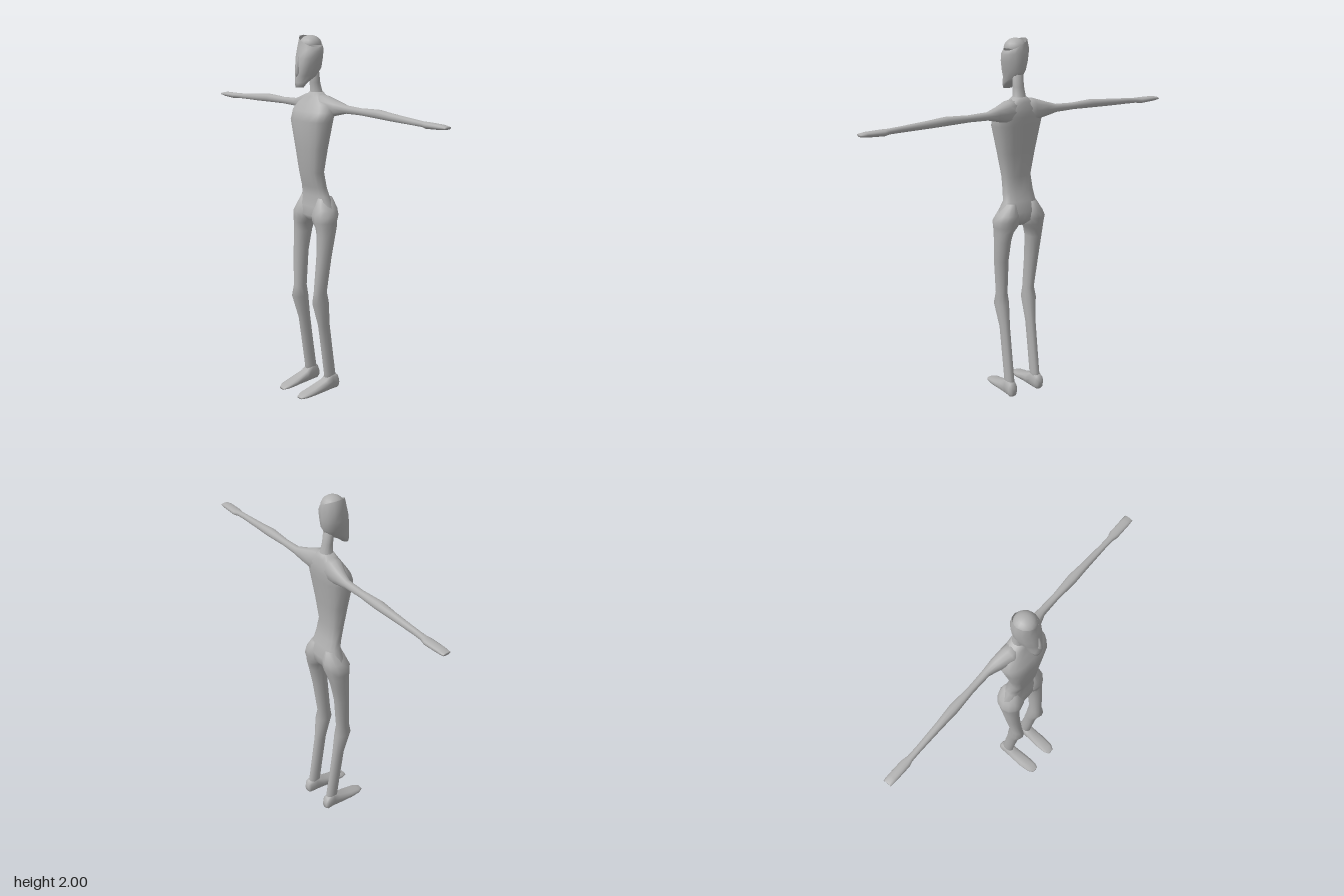
import * as THREE from 'three';

// Skin lofted through rings [t, aMin, aMax, bMin, bMax, tilt] along an axis.
// Axis y: a = x, b = z.  Axis x: a = z, b = y.  Axis z: a = y, b = x.
function loft(axis, rings, { sides = 12, power = 1, openTop = false } = {}) {
  const pos = [], index = [];
  const put = (a, t, b) => {
    if (axis === 'y') pos.push(a, t, b);
    else if (axis === 'x') pos.push(t, b, a);
    else pos.push(b, a, t);
  };
  const shape = v => Math.sign(v) * Math.pow(Math.abs(v), power);
  for (const [t, a0, a1, b0, b1, tilt = 0] of rings) {
    for (let i = 0; i < sides; i++) {
      const ang = (i / sides) * Math.PI * 2;
      const c = shape(Math.cos(ang)), s = shape(Math.sin(ang));
      put((a0 + a1) / 2 + c * (a1 - a0) / 2, t + tilt * c, (b0 + b1) / 2 + s * (b1 - b0) / 2);
    }
  }
  for (let r = 0; r < rings.length - 1; r++) {
    for (let i = 0; i < sides; i++) {
      const p = r * sides + i, q = r * sides + (i + 1) % sides;
      index.push(p, p + sides, q, q, p + sides, q + sides);
    }
  }
  // close the ends
  const cap = (r, top) => {
    const [t, a0, a1, b0, b1] = rings[r];
    const centre = pos.length / 3;
    put((a0 + a1) / 2, t, (b0 + b1) / 2);
    for (let i = 0; i < sides; i++) {
      const p = r * sides + i, q = r * sides + (i + 1) % sides;
      index.push(centre, top ? q : p, top ? p : q);
    }
  };
  cap(0, false);
  if (!openTop) cap(rings.length - 1, true);
  const geo = new THREE.BufferGeometry();
  geo.setAttribute('position', new THREE.Float32BufferAttribute(pos, 3));
  geo.setIndex(index);
  geo.computeVertexNormals();
  return geo;
}

// Copy reflected in x, with the corner order turned round.
function mirrorX(geo) {
  const g = geo.clone();
  g.scale(-1, 1, 1);
  g.setIndex(Array.from(geo.index.array).reverse());
  g.computeVertexNormals();
  return g;
}

export function createModel() {
  const model = new THREE.Group();
  const grey = new THREE.MeshStandardMaterial({ color: 0xb0b0b0, side: THREE.DoubleSide });
  grey.name = 'body grey';

  const add = (name, geo) => {
    const mesh = new THREE.Mesh(geo, grey);
    mesh.name = name;
    model.add(mesh);
    return mesh;
  };
  const addPair = (name, geo) => {
    add('left' + name, geo);
    add('right' + name, mirrorX(geo));
  };
  const sym = (y, w, z0, z1, tilt) => [y, -w, w, z0, z1, tilt];

  // torso, from crotch to neck base
  add('torso', loft('y', [
    sym(1.0, 0.05, -0.07, 0.0),
    sym(1.03, 0.135, -0.105, 0.02),
    sym(1.08, 0.13, -0.11, 0.012),
    sym(1.14, 0.096, -0.092, 0.002),
    sym(1.19, 0.09, -0.075, 0.01),
    sym(1.27, 0.085, -0.062, 0.034),
    sym(1.4, 0.11, -0.075, 0.048),
    sym(1.55, 0.142, -0.095, 0.065),
    sym(1.6, 0.146, -0.102, 0.045),
    sym(1.64, 0.12, -0.1, 0.02),
    sym(1.675, 0.07, -0.092, 0.0),
    sym(1.7, 0.036, -0.082, -0.012),
  ], { sides: 16, power: 0.85 }));

  // neck
  add('neck', loft('y', [
    sym(1.66, 0.055, -0.09, -0.005),
    sym(1.7, 0.035, -0.08, -0.012),
    sym(1.75, 0.03, -0.065, -0.01),
    sym(1.83, 0.03, -0.055, 0.0),
  ]));

  // skull, open at its slanted rim
  add('head', loft('y', [
    sym(1.73, 0.026, 0.05, 0.087),
    sym(1.755, 0.035, 0.022, 0.091),
    sym(1.79, 0.042, -0.045, 0.09),
    sym(1.83, 0.058, -0.068, 0.084),
    sym(1.88, 0.069, -0.073, 0.078),
    sym(1.93, 0.074, -0.075, 0.062, -0.012),
    sym(1.966, 0.062, -0.068, 0.054, -0.03),
  ], { openTop: true }));

  // dome inside the rim
  const dome = new THREE.SphereGeometry(1, 14, 6, 0, Math.PI * 2, 0, Math.PI / 2);
  dome.scale(0.06, 0.05, 0.06);
  add('crown', dome).position.set(0, 1.948, -0.006);

  // nose ridge
  add('nose', loft('y', [
    sym(1.785, 0.008, 0.06, 0.09),
    sym(1.805, 0.014, 0.06, 0.097),
    sym(1.84, 0.01, 0.055, 0.092),
    sym(1.89, 0.005, 0.055, 0.078),
  ], { sides: 8 }));

  // arms with elbow and flat hand
  addPair('Arm', loft('x', [
    [0.02, -0.095, 0.0, 1.56, 1.695],
    [0.08, -0.1, 0.0, 1.565, 1.685],
    [0.15, -0.102, -0.035, 1.585, 1.662],
    [0.21, -0.098, -0.056, 1.6, 1.644],
    [0.32, -0.095, -0.058, 1.603, 1.64],
    [0.45, -0.102, -0.05, 1.6, 1.646],
    [0.55, -0.095, -0.055, 1.597, 1.637],
    [0.7, -0.09, -0.058, 1.595, 1.626],
    [0.76, -0.091, -0.057, 1.594, 1.622],
    [0.79, -0.1, -0.05, 1.589, 1.622],
    [0.88, -0.1, -0.05, 1.594, 1.62],
    [0.915, -0.098, -0.052, 1.6, 1.614],
  ], { power: 0.85 }));

  // legs
  addPair('Leg', loft('y', [
    [0.03, 0.06, 0.112, -0.125, -0.05],
    [0.1, 0.06, 0.111, -0.115, -0.042],
    [0.25, 0.06, 0.112, -0.092, -0.02],
    [0.4, 0.059, 0.113, -0.07, 0.003],
    [0.54, 0.05, 0.13, -0.055, 0.045],
    [0.6, 0.058, 0.118, -0.045, 0.036],
    [0.8, 0.06, 0.138, -0.065, 0.024],
    [0.92, 0.054, 0.144, -0.09, 0.02],
    [0.97, 0.042, 0.147, -0.103, 0.023],
    [1.0, 0.012, 0.151, -0.109, 0.028],
    [1.035, 0.004, 0.156, -0.118, 0.03],
    [1.07, 0.012, 0.137, -0.119, 0.018],
    [1.13, 0.035, 0.097, -0.1, -0.005],
  ]));

  // feet, heel to toe
  addPair('Foot', loft('z', [
    [-0.135, 0.01, 0.055, 0.07, 0.107],
    [-0.122, 0.0, 0.085, 0.06, 0.118],
    [-0.08, 0.0, 0.105, 0.053, 0.12],
    [-0.035, 0.0, 0.07, 0.05, 0.122],
    [0.05, 0.0, 0.04, 0.045, 0.124],
    [0.11, 0.0, 0.024, 0.047, 0.118],
    [0.14, 0.0, 0.012, 0.06, 0.1],
  ], { power: 0.8 }));

  return model;
}
